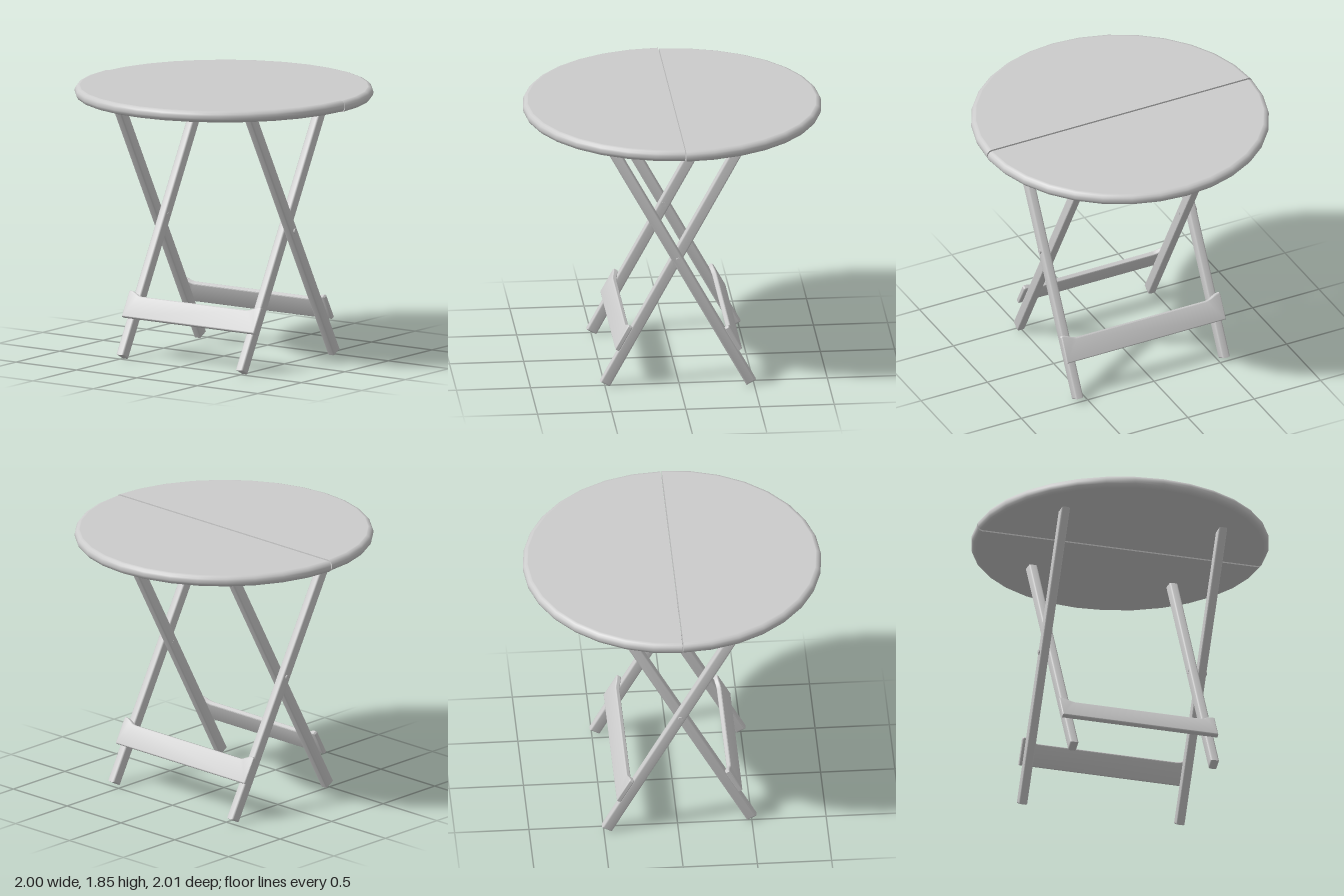
import * as THREE from 'three';
import { toCreasedNormals } from 'three/addons/utils/BufferGeometryUtils.js';

const material = new THREE.MeshStandardMaterial({ color: 0xcccccc });
const BASE_X = 0.0115; // the folding base sits slightly off centre
const LEG_HALF = 0.037;

function part(name, geometry) {
  const mesh = new THREE.Mesh(geometry, material);
  mesh.name = name;
  return mesh;
}

// Extruded outline with rounded edges that stay inside the outline, centred in depth
function roundedExtrude(points, depth, bevel) {
  const shape = new THREE.Shape(points.map(([x, y]) => new THREE.Vector2(x, y)));
  const geometry = new THREE.ExtrudeGeometry(shape, {
    depth: depth - 2 * bevel,
    bevelEnabled: true,
    bevelSize: bevel,
    bevelThickness: bevel,
    bevelOffset: -bevel,
    bevelSegments: 3,
  });
  geometry.translate(0, 0, -depth / 2 + bevel);
  return toCreasedNormals(geometry, 0.6);
}

// Half of the round top: a half lathe closed by a flat face along the seam
function tabletopHalf(name, bottom, top) {
  const half = new THREE.Group();
  half.name = name;
  const h = top - bottom;
  const profile = [
    [0, 0], [0.965, 0], [0.97, 0], [0.985, 0.07], [0.996, 0.24], [1, 0.4],
    [1, 0.6], [0.996, 0.76], [0.985, 0.93], [0.97, 1], [0.965, 1], [0, 1],
  ].map(([r, t]) => new THREE.Vector2(r, bottom + t * h));
  half.add(part(name + 'Board', new THREE.LatheGeometry(profile, 16, -Math.PI / 2, Math.PI)));

  const mirrored = profile.slice(1, -1).reverse().map((p) => new THREE.Vector2(-p.x, p.y));
  const seam = new THREE.ShapeGeometry(new THREE.Shape([...profile.slice(1, -1), ...mirrored]));
  seam.rotateY(Math.PI);
  half.add(part(name + 'SeamFace', seam));
  half.children.forEach((m) => (m.position.z = 0.004));
  return half;
}

// Slanted leg: square cut at the foot, level cut under the top
function legGeometry(footZ, topZ) {
  const footY = 0.019, topY = 1.772;
  const dz = topZ - footZ, dy = topY - footY, len = Math.hypot(dz, dy);
  const nz = (dy / len) * LEG_HALF, ny = (-dz / len) * LEG_HALF;
  const level = (LEG_HALF * len) / dy;
  const geometry = roundedExtrude([
    [footZ - nz, footY - ny], [footZ + nz, footY + ny],
    [topZ + level, topY], [topZ - level, topY],
  ], 0.06, 0.013);
  return geometry.rotateY(-Math.PI / 2);
}

// Cross rail with raised ends, leaning with the legs it is fixed to
function railGeometry(halfWidth) {
  const right = [
    [halfWidth, -0.095], [halfWidth, 0.085], [halfWidth - 0.008, 0.095], [halfWidth - 0.03, 0.092],
    [halfWidth - 0.06, 0.08], [halfWidth - 0.085, 0.067], [halfWidth - 0.11, 0.061],
  ];
  const left = right.map(([x, y]) => [-x, y]).reverse();
  return roundedExtrude([...right, ...left], 0.034, 0.008);
}

export function createModel() {
  const table = new THREE.Group();
  table.name = 'foldingTable';

  // Round top in two halves
  table.add(tabletopHalf('frontTop', 1.773, 1.85));
  const backTop = tabletopHalf('backTop', 1.768, 1.845);
  backTop.rotation.y = Math.PI;
  table.add(backTop);

  const base = new THREE.Group();
  base.name = 'base';
  base.position.x = BASE_X;
  table.add(base);

  // Crossed legs and pivot pins on both sides
  const outerLeg = legGeometry(-0.48, 0.485);
  const innerLeg = legGeometry(0.5, -0.455);
  for (const [side, s] of [['left', 1], ['right', -1]]) {
    const outer = part(side + 'OuterLeg', outerLeg);
    outer.position.x = s * 0.5525;
    const inner = part(side + 'InnerLeg', innerLeg);
    inner.position.x = s * 0.4935;
    const pin = part(side + 'PivotPin', new THREE.CylinderGeometry(0.016, 0.016, 0.13, 12));
    pin.rotation.z = Math.PI / 2;
    pin.position.set(s * 0.526, 0.92, 0.014);
    base.add(outer, inner, pin);
  }

  // Cross rails: front one on the inner legs, back one on the outer legs
  const frontRail = part('frontRail', railGeometry(0.546));
  frontRail.position.set(0, 0.355, 0.376);
  frontRail.rotation.x = -0.5;
  const backRail = part('backRail', railGeometry(0.6));
  backRail.position.set(0, 0.35, -0.357);
  backRail.rotation.x = 0.505;
  base.add(frontRail, backRail);

  return table;
}
